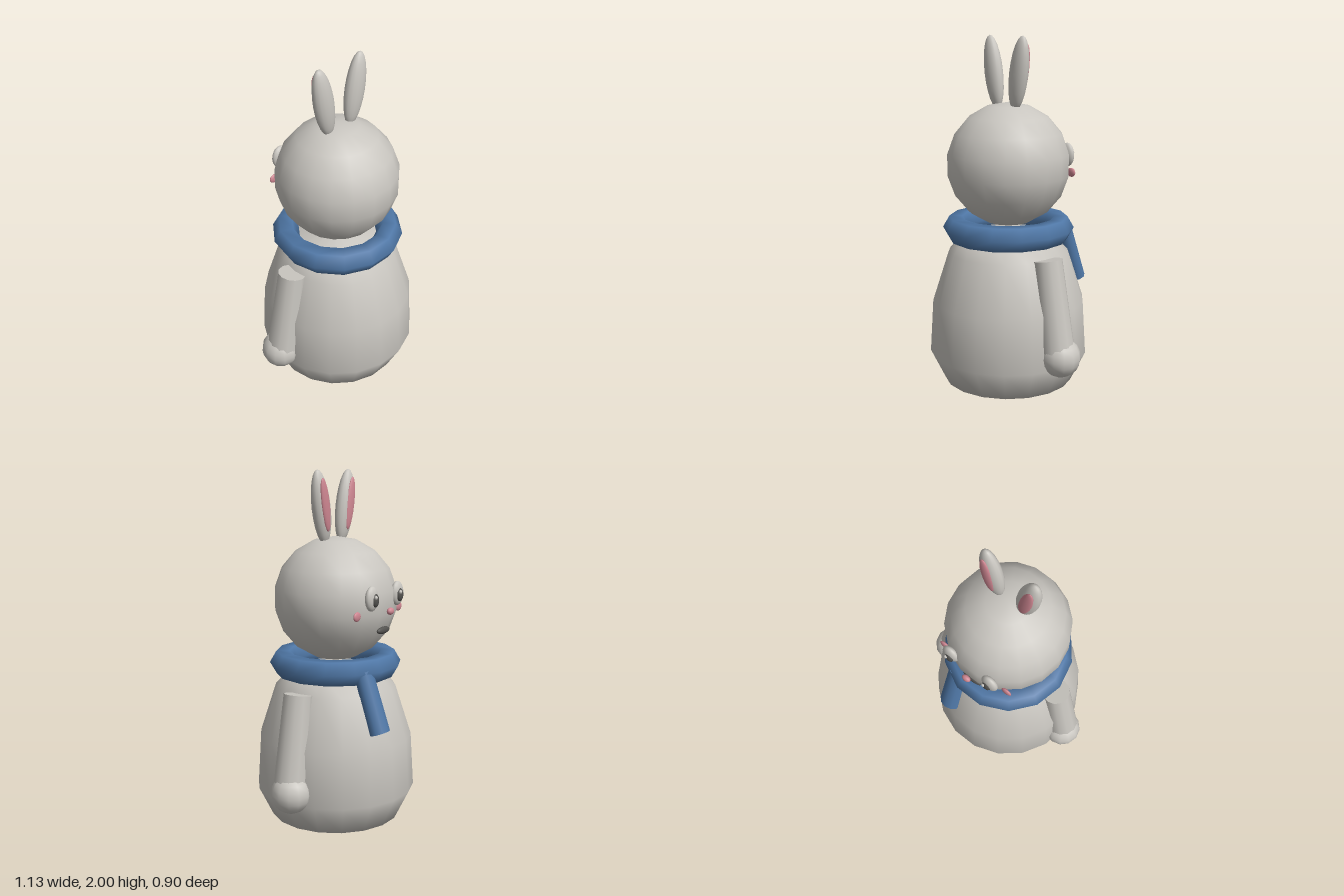
import * as THREE from 'three';

const material = (name, color) => {
  const m = new THREE.MeshStandardMaterial({ color });
  m.name = name;
  return m;
};

export function createModel() {
  const root = new THREE.Group();
  root.name = 'rabbit';
  const fur = material('warm grey fur', 0xc9c6c0);
  const blue = material('blue wool', 0x4f77a6);
  const pink = material('pink', 0xcf8792);
  const dark = material('charcoal', 0x53524f);

  const add = (name, geometry, mat, position = [0, 0, 0]) => {
    const mesh = new THREE.Mesh(geometry, mat);
    mesh.name = name;
    mesh.position.set(...position);
    root.add(mesh);
    return mesh;
  };
  const ellipsoid = (name, mat, position, radii, w = 16, h = 12) =>
    add(name, new THREE.SphereGeometry(1, w, h).scale(...radii), mat, position);

  // Tapered round limb between two points
  const limb = (name, mat, from, to, rFrom, rTo, sides) => {
    const a = new THREE.Vector3(...from), b = new THREE.Vector3(...to);
    const mesh = add(name, new THREE.CylinderGeometry(rFrom, rTo, a.distanceTo(b), sides), mat);
    mesh.position.copy(a).add(b).multiplyScalar(0.5);
    mesh.quaternion.setFromUnitVectors(new THREE.Vector3(0, 1, 0), a.sub(b).normalize());
    return mesh;
  };

  // Pear-shaped body with a flat base
  const profile = [[0, 0.025], [0.373, 0.025], [0.456, 0.195], [0.437, 0.5],
    [0.345, 0.785], [0.25, 0.88], [0, 0.93]].map(([r, y]) => new THREE.Vector2(r, y));
  add('body', new THREE.LatheGeometry(profile, 18, Math.PI / 2), fur);

  // Head
  ellipsoid('head', fur, [0, 1.285, 0], [0.35, 0.35, 0.35], 18, 9);

  // Scarf ring and hanging tail
  add('scarf', new THREE.TorusGeometry(0.3, 0.075, 6, 14).rotateX(Math.PI / 2), blue, [0, 0.92, 0]);
  const tail = limb('scarfTail', blue, [0.14, 0.92, -0.28], [0.14, 0.593, -0.39], 0.06, 0.066, 10);
  tail.scale.z = 0.82;

  for (const s of [-1, 1]) {
    const side = s > 0 ? 'left' : 'right';

    // Ears with pink inner faces
    const ear = ellipsoid(side + 'Ear', fur, [s * 0.114, 1.795, 0.016], [0.063, 0.207, 0.045]);
    ear.rotation.z = -s * 0.18;
    const inner = ellipsoid(side + 'InnerEar', pink, [s * 0.12, 1.81, -0.018], [0.035, 0.148, 0.016]);
    inner.rotation.z = -s * 0.18;

    // Arms and hands
    limb(side + 'Arm', fur, [s * 0.357, 0.8, 0], [s * 0.442, 0.3, -0.006], 0.08, 0.094, 12);
    ellipsoid(side + 'Hand', fur, [s * 0.452, 0.265, -0.018], [0.112, 0.112, 0.112], 12, 10);

    // Foot pads under the base
    ellipsoid(side + 'Foot', dark, [s * 0.17, 0.045, -0.085], [0.12, 0.045, 0.15]);

    // Eyes, pupils and glints
    ellipsoid(side + 'Eye', fur, [s * 0.132, 1.325, -0.325], [0.052, 0.068, 0.027]);
    ellipsoid(side + 'Pupil', dark, [s * 0.127, 1.318, -0.346], [0.027, 0.037, 0.016]);
    ellipsoid(side + 'Glint', fur, [s * 0.127 + 0.013, 1.335, -0.358], [0.011, 0.011, 0.009], 8, 6);

    // Cheeks
    ellipsoid(side + 'Cheek', pink, [s * 0.213, 1.236, -0.286], [0.032, 0.026, 0.011]);
  }

  // Nose and mouth
  ellipsoid('nose', pink, [0, 1.245, -0.363], [0.027, 0.02, 0.017]);
  ellipsoid('mouth', dark, [0, 1.135, -0.318], [0.062, 0.02, 0.016]);

  return root;
}
